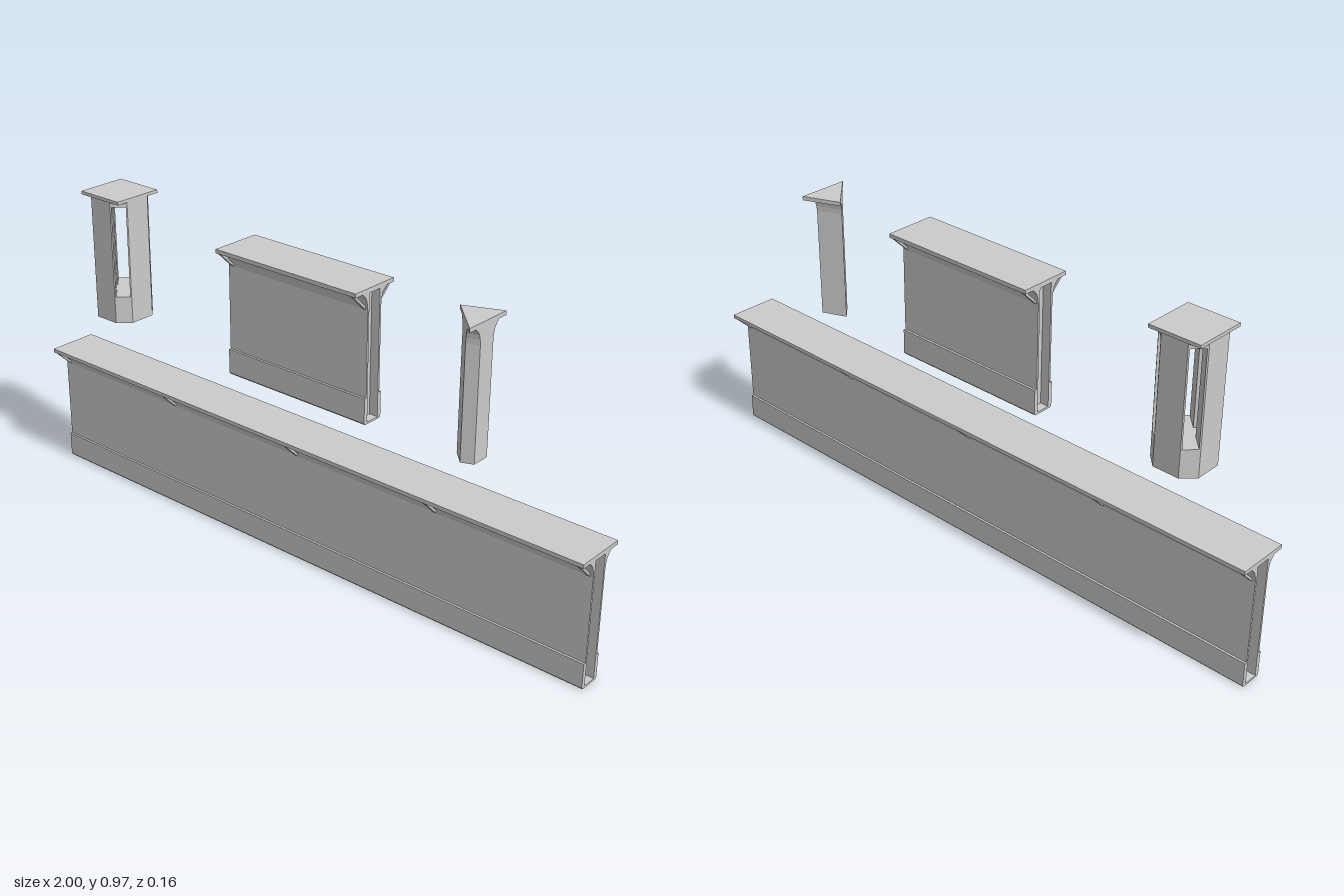
import * as THREE from 'three';

const mat = new THREE.MeshStandardMaterial({ color: 0xcccccc, flatShading: true, side: THREE.DoubleSide });

function add(parent, name, geo, x = 0, y = 0, z = 0) {
  const m = new THREE.Mesh(geo, mat);
  m.name = name;
  m.position.set(x, y, z);
  parent.add(m);
  return m;
}

const shapeOf = pts => new THREE.Shape(pts.map(p => new THREE.Vector2(p[0], p[1])));

// Half outline of the wall, bottom to top: [distance from centre, height]
const cove = [[0.028, 0.338], [0.030, 0.355], [0.034, 0.37], [0.042, 0.381], [0.05, 0.388], [0.08, 0.388], [0.08, 0.4]];
const withBase = [[0.031, 0], [0.035, 0.005], [0.035, 0.08], [0.028, 0.08], ...cove];
const plain = [[0.028, 0], ...cove];
const closed = half => [...half, ...half.map(([a, b]) => [-a, b]).reverse()];

// Extrudes a z-y outline along x, centred
function alongX(shape, length) {
  const g = new THREE.ExtrudeGeometry(shape, { depth: length, bevelEnabled: false });
  g.translate(0, 0, -length / 2);
  g.rotateY(-Math.PI / 2);
  return g;
}

// Extrudes an x-z outline upwards from y0 to y1
function upright(pts, y0, y1) {
  const g = new THREE.ExtrudeGeometry(shapeOf(pts.map(([x, z]) => [x, -z])), { depth: y1 - y0, bevelEnabled: false });
  g.rotateX(-Math.PI / 2);
  g.translate(0, y0, 0);
  return g;
}

// Hollow wall with coved counter top, recessed ends and diagonal struts
function wall(name, length, strutXs) {
  const g = new THREE.Group();
  g.name = name;
  const s = shapeOf(closed(withBase));
  s.holes.push(new THREE.Path([[-0.022, 0.006], [-0.022, 0.386], [0.022, 0.386], [0.022, 0.006]]
    .map(p => new THREE.Vector2(p[0], p[1]))));
  add(g, 'wallShell', alongX(s, length));
  for (const side of [-1, 1]) {
    add(g, 'recessedEnd', new THREE.BoxGeometry(0.004, 0.38, 0.044), side * (length / 2 - 0.03), 0.196, 0);
    const strut = shapeOf([[0.028, 0.338], [0.079, 0.388], [0.069, 0.388], [0.028, 0.347]].map(([a, b]) => [a * side, b]));
    for (const x of strutXs) add(g, 'strut', alongX(strut, 0.01), x);
  }
  return g;
}

// Octagonal pillar with four diagonal slots passing through it
function pillar() {
  const g = new THREE.Group();
  g.name = 'pillar';
  const R = 0.077, F = 0.041, c = (R + F) / 2, k = 0.015;
  const octagon = [[R, -F], [R, F], [F, R], [-F, R], [-R, F], [-R, -F], [-F, -R], [F, -R]];
  // open-bottomed base skirt
  const inner = octagon.map(([x, z]) => [x * 0.93, z * 0.93]);
  const skirt = shapeOf(octagon);
  skirt.holes.push(new THREE.Path(inner.map(p => new THREE.Vector2(p[0], p[1]))));
  const sg = new THREE.ExtrudeGeometry(skirt, { depth: 0.08, bevelEnabled: false });
  sg.rotateX(-Math.PI / 2);
  add(g, 'baseSkirt', sg);
  add(g, 'slotFloor', upright(octagon, 0.08, 0.085));
  // four wedge uprights between the slots
  const wedge = [[2 * k, 0], [c + k, -(c - k)], [R, -F], [R, F], [c + k, c - k]];
  for (let i = 0; i < 4; i++) {
    add(g, 'upright', upright(wedge, 0.085, 0.37)).rotation.y = i * Math.PI / 2;
  }
  add(g, 'collar', upright(octagon, 0.37, 0.386));
  add(g, 'capPlate', new THREE.BoxGeometry(0.16, 0.01, 0.16), 0, 0.391, 0);
  return g;
}

// Wedge-shaped 45 degree corner filler: the wall outline swept around its inner corner
function cornerFiller() {
  const g = new THREE.Group();
  g.name = 'cornerFiller';
  const w = 0.078;
  const outline = closed(plain).map(([a, b]) => [Math.max(0, a + w), b]);
  const start = Math.PI, turn = Math.PI / 4;
  const loop = [...outline, outline[0]].map(p => new THREE.Vector2(p[0], p[1]));
  add(g, 'cornerSurface', new THREE.LatheGeometry(loop, 1, start, turn));
  for (const phi of [start, start + turn]) {
    add(g, 'cornerEnd', new THREE.ShapeGeometry(shapeOf(outline))).rotation.y = phi - Math.PI / 2;
  }
  return g;
}

export function createModel() {
  const model = new THREE.Group();
  model.name = 'counterWallSet';

  model.add(wall('longWall', 2, [-0.985, -0.5, 0, 0.5, 0.985]));

  const short = wall('shortWall', 0.51, [-0.242, 0.242]);
  short.position.y = 0.522;
  model.add(short);

  const post = pillar();
  post.position.set(-0.735, 0.574, 0);
  model.add(post);

  const corner = cornerFiller();
  corner.position.set(0.62, 0.526, 0.077);
  model.add(corner);

  return model;
}
